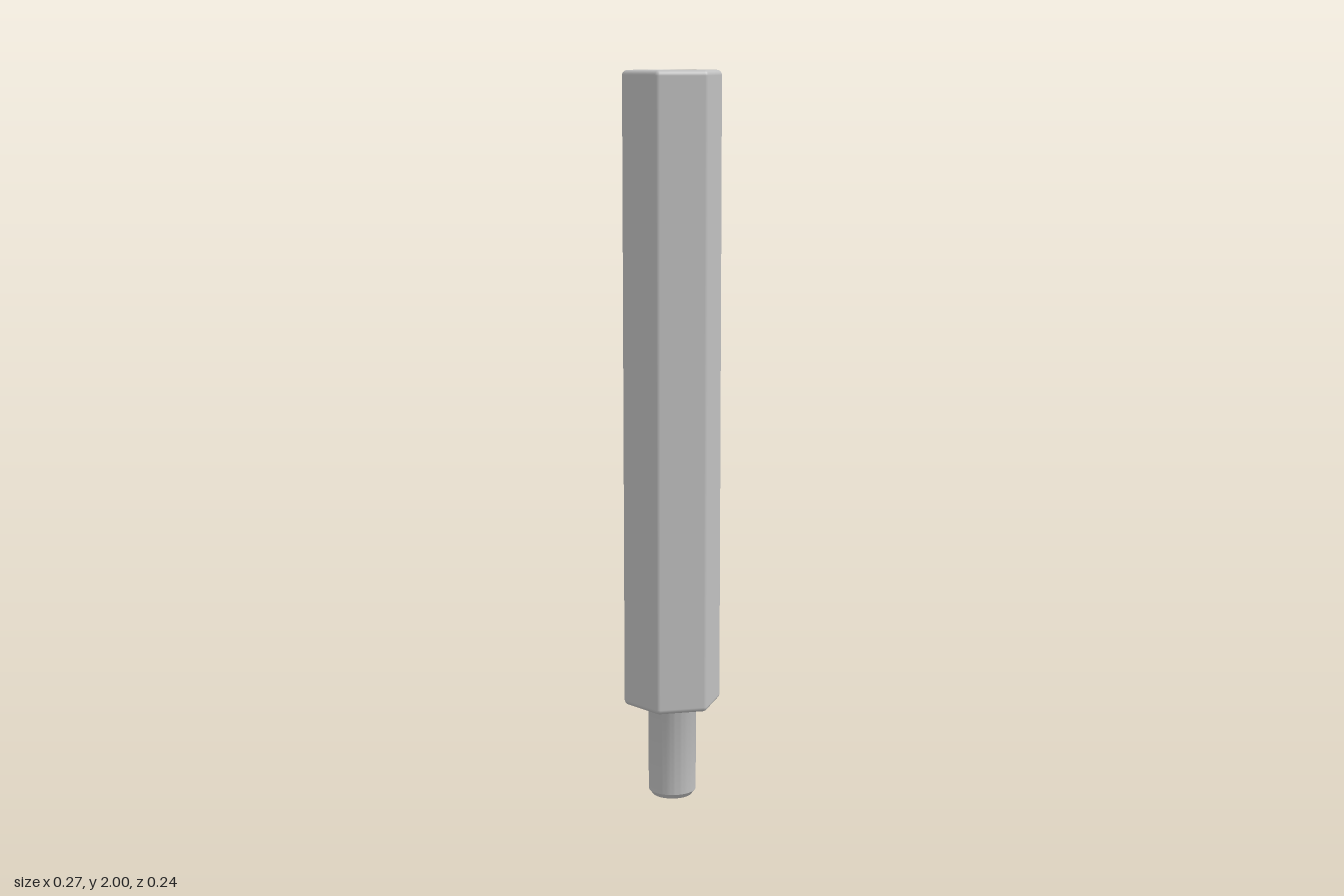
import * as THREE from 'three';
import { toCreasedNormals } from 'three/addons/utils/BufferGeometryUtils.js';

const APOTHEM = 0.119, ROUND = 0.014, BOTTOM = 0.265, TOP = 2;
const CORE = (APOTHEM - ROUND) / Math.cos(Math.PI / 6); // corner radius of the flat end faces
const HOLE = 0.067, SEGMENTS = 64;

// Hexagonal side wall with rounded corners and rounded end edges
function hexWall() {
  const steps = 6, rings = [];
  for (let i = 0; i <= steps; i++) rings.push([BOTTOM + ROUND, -Math.PI / 2 * (1 - i / steps)]);
  for (let i = 0; i <= steps; i++) rings.push([TOP - ROUND, Math.PI / 2 * i / steps]);
  const pos = [], nor = [], idx = [], n = 6 * (steps + 1);
  for (const [y, tilt] of rings) {
    for (let k = 0; k < 6; k++) {
      const c = k * Math.PI / 3;
      for (let s = 0; s <= steps; s++) {
        const a = c + (s / steps - 0.5) * Math.PI / 3;
        const nx = Math.cos(a) * Math.cos(tilt), ny = Math.sin(tilt), nz = Math.sin(a) * Math.cos(tilt);
        pos.push(Math.cos(c) * CORE + nx * ROUND, y + ny * ROUND, Math.sin(c) * CORE + nz * ROUND);
        nor.push(nx, ny, nz);
      }
    }
  }
  for (let r = 0; r < rings.length - 1; r++) {
    for (let j = 0; j < n; j++) {
      const a = r * n + j, b = r * n + (j + 1) % n;
      idx.push(a, a + n, b, b, a + n, b + n);
    }
  }
  const g = new THREE.BufferGeometry();
  g.setAttribute('position', new THREE.Float32BufferAttribute(pos, 3));
  g.setAttribute('normal', new THREE.Float32BufferAttribute(nor, 3));
  g.setIndex(idx);
  return g;
}

// Flat hexagonal end face, optionally with the round hole
function hexFace(withHole) {
  const shape = new THREE.Shape();
  for (let k = 0; k < 6; k++) {
    const a = k * Math.PI / 3;
    shape[k ? 'lineTo' : 'moveTo'](CORE * Math.cos(a), CORE * Math.sin(a));
  }
  shape.closePath();
  if (withHole) shape.holes.push(new THREE.Path().absarc(0, 0, HOLE, 0, Math.PI * 2, true));
  return new THREE.ShapeGeometry(shape, SEGMENTS / 2);
}

function turned(points) {
  const profile = points.map(([r, y]) => new THREE.Vector2(r, y));
  return toCreasedNormals(new THREE.LatheGeometry(profile, SEGMENTS), 0.5);
}

export function createModel() {
  const group = new THREE.Group();
  const steel = new THREE.MeshStandardMaterial({ color: 0xc0c0c0 });
  steel.name = 'steel grey';
  const add = (name, geometry) => {
    const mesh = new THREE.Mesh(geometry, steel);
    mesh.name = name;
    group.add(mesh);
  };

  // Hexagonal body
  add('hexBody', hexWall());
  add('topFace', hexFace(true).rotateX(-Math.PI / 2).translate(0, TOP, 0));
  add('bottomFace', hexFace(false).rotateX(Math.PI / 2).translate(0, BOTTOM, 0));

  // Blind bore with a countersunk rim
  add('bore', turned([[HOLE, TOP], [0.055, TOP - 0.012], [0.055, TOP - 0.39], [0, TOP - 0.39]]));

  // Stud with a chamfered tip and a small flare at the root
  add('stud', turned([[0, 0], [0.055, 0], [0.066, 0.014], [0.066, BOTTOM - 0.008],
    [0.068, BOTTOM - 0.003], [0.072, BOTTOM]]));

  return group;
}
